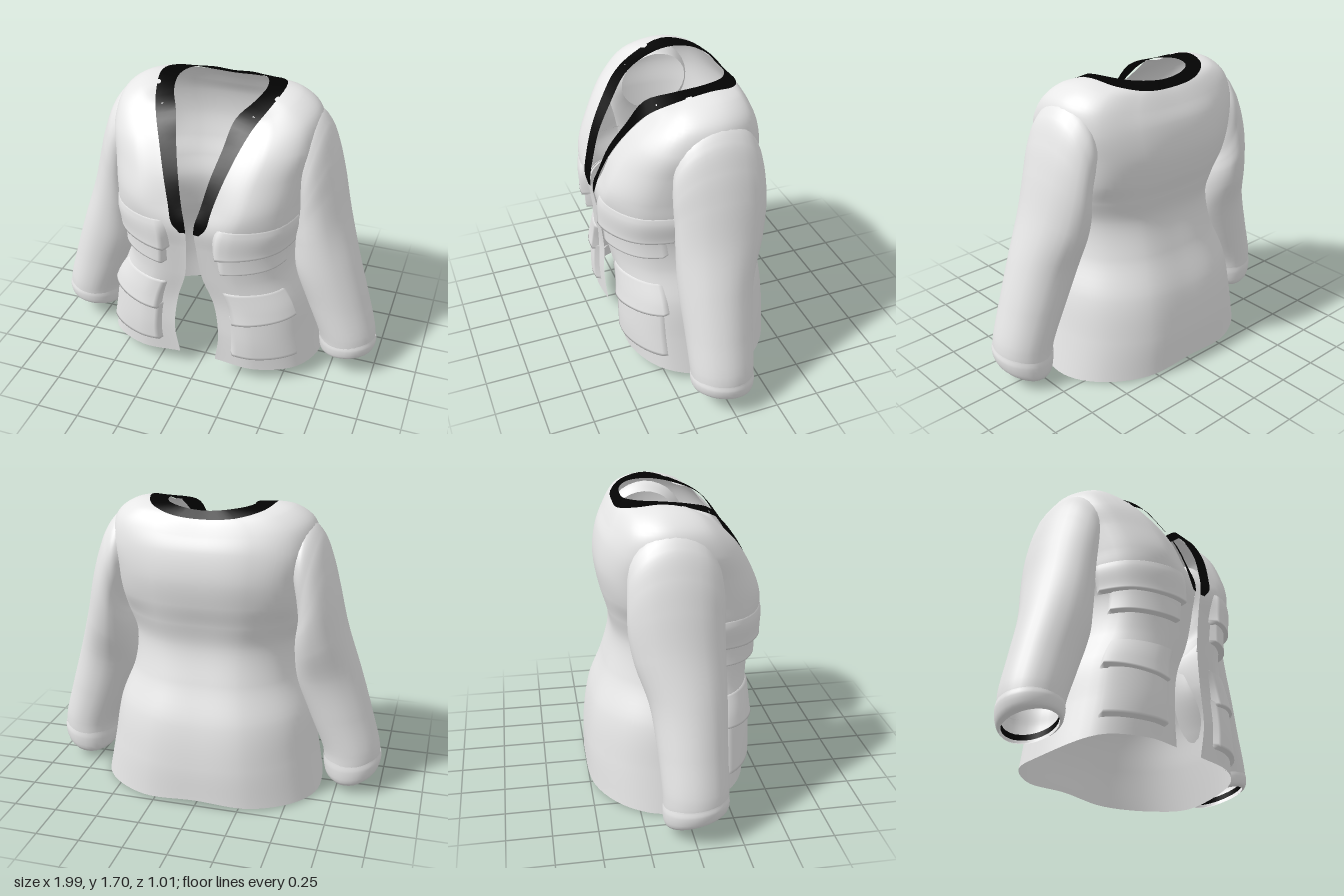
import * as THREE from 'three';
import { ParametricGeometry } from 'three/addons/geometries/ParametricGeometry.js';

const V = (x, y, z) => new THREE.Vector3(x, y, z);
const mix = THREE.MathUtils.lerp;
const cloth = new THREE.MeshStandardMaterial({ color: 0xeeeeee, side: THREE.DoubleSide });
cloth.name = 'off-white cloth';
const trim = new THREE.MeshStandardMaterial({ color: 0x030303, side: THREE.DoubleSide });
trim.name = 'black trim';

// Smooth surface through rows of control points: u runs along a row, v across the rows
function surface(rows, closed = false) {
  const columns = rows[0].map((_, c) => new THREE.CatmullRomCurve3(rows.map((r) => r[c])));
  return (u, v, target) => {
    const row = columns.map((c) => c.getPoint(THREE.MathUtils.clamp(v, 0, 1)));
    return new THREE.CatmullRomCurve3(row, closed).getPoint(u, target);
  };
}

function part(name, fn, slices, stacks, material = cloth) {
  const mesh = new THREE.Mesh(new ParametricGeometry(fn, slices, stacks), material);
  mesh.name = name;
  return mesh;
}

// Left half of a row, from the front edge to the back centre, completed by mirroring
const mirrorRow = (half) => [
  ...half,
  ...half.slice(0, -1).reverse().map((p) => V(-p.x, p.y, p.z)),
];

// Body levels: yFront, ySide, yBack, edge x, edge z, front z, half width, side z, back z
const lowerLevels = [
  [0.11, 0.015, 0.05, 0.11, 0.39, 0.39, 0.655, -0.08, -0.505],
  [0.3, 0.26, 0.25, 0.135, 0.4, 0.4, 0.61, -0.07, -0.5],
  [0.52, 0.5, 0.48, 0.11, 0.4, 0.4, 0.57, -0.05, -0.465],
  [0.72, 0.72, 0.72, 0.05, 0.43, 0.42, 0.49, -0.02, -0.38],
  [0.92, 0.92, 0.92, 0.03, 0.46, 0.45, 0.48, 0, -0.335],
  [1.06, 1.06, 1.06, 0.03, 0.48, 0.48, 0.53, 0, -0.36],
];
const upperLevels = [
  [1.18, 1.18, 1.18, 0.1, 0.455, 0.47, 0.54, -0.03, -0.395],
  [1.33, 1.33, 1.33, 0.145, 0.405, 0.41, 0.56, -0.06, -0.415],
  [1.48, 1.48, 1.48, 0.2, 0.315, 0.32, 0.585, -0.07, -0.39],
  [1.57, 1.61, 1.56, 0.235, 0.235, 0.225, 0.555, -0.08, -0.35],
  [1.61, 1.685, 1.62, 0.255, 0.205, 0.165, 0.455, -0.09, -0.315],
  [1.63, 1.705, 1.645, 0.265, 0.19, 0.1, 0.35, -0.08, -0.295],
  [1.635, 1.698, 1.658, 0.25, 0.19, 0.09, 0.315, -0.08, -0.278],
];
// bend = how soon the hem line drops from front to side, full = roundness of the back
const bodyRow = (bend, full, backDrop) => ([yf, ys, yb, xe, ze, zf, w, zs, zb]) => mirrorRow([
  V(xe, yf, ze),
  V(mix(xe, w, 0.45), mix(yf, ys, bend * 0.4), zf),
  V(mix(xe, w, 0.86), mix(yf, ys, bend), mix(zs, zf, 0.72)),
  V(w, ys, zs),
  V(w * 0.86, mix(ys, yb, backDrop * 0.4), mix(zs, zb, full)),
  V(w * 0.48, mix(ys, yb, backDrop), mix(zs, zb, 0.93)),
  V(0, yb, zb),
]);
const bodyRows = [
  ...lowerLevels.map(bodyRow(0.3, 0.54, 0.35)),
  ...upperLevels.map(bodyRow(0.75, 0.62, 0.75)),
];
const body = surface(bodyRows);

// Padded patch lying on the body; p = [u0, u1, v0, v1] in control-row steps
function patch(p, depthTop, depthBottom, skew, side) {
  const [u0, u1, v0, v1] = p;
  const E = 1e-3;
  return (a, b, target) => {
    const half = mix(u0, u1, a) / 12;
    const u = side > 0 ? half : 1 - half;
    const v = (mix(v0, v1, b) + skew * a * (1 - b)) / (bodyRows.length - 1);
    const at = body(u, v, V());
    const du = body(u + E, v, V()).sub(body(u - E, v, V()));
    const dv = body(u, v + E, V()).sub(body(u, v - E, V()));
    const normal = du.cross(dv).normalize();
    const rim = THREE.MathUtils.clamp(Math.min(a, 1 - a, b, 1 - b) * 16, 0, 1);
    const depth = mix(depthBottom, depthTop, b);
    return target.copy(at).addScaledVector(normal, mix(-0.008, depth, rim));
  };
}

// Sleeve rings: outer x, outer y, inner x, inner y, centre z, half depth, front lift
const sleeveRings = [
  [0.45, 1.57, 0.5, 1.2, -0.06, 0.2, 0],
  [0.53, 1.615, 0.5, 1.12, -0.05, 0.24, 0],
  [0.605, 1.55, 0.5, 1.04, -0.045, 0.255, 0],
  [0.665, 1.41, 0.49, 1.0, -0.045, 0.26, 0],
  [0.71, 1.25, 0.48, 0.94, -0.045, 0.258, 0],
  [0.765, 1.02, 0.475, 0.85, -0.03, 0.245, 0],
  [0.85, 0.75, 0.485, 0.68, 0.005, 0.21, 0],
  [0.925, 0.5, 0.565, 0.46, 0.015, 0.19, 0],
  [0.985, 0.27, 0.65, 0.25, 0.02, 0.18, 0],
  [0.985, 0.2, 0.665, 0.17, 0.02, 0.175, 0.02],
  [0.955, 0.125, 0.69, 0.095, 0.02, 0.16, 0.04],
];
const cuffRings = [
  [0.99, 0.24, 0.655, 0.21, 0.02, 0.176, 0.02],
  [0.997, 0.205, 0.657, 0.165, 0.02, 0.182, 0.025],
  [0.982, 0.145, 0.672, 0.105, 0.02, 0.174, 0.035],
  [0.955, 0.122, 0.69, 0.092, 0.02, 0.16, 0.04],
];
const liningRings = [
  [0.952, 0.142, 0.692, 0.108, 0.02, 0.156, 0.04],
  [0.95, 0.172, 0.692, 0.138, 0.02, 0.154, 0.04],
];
function tube(rings, side) {
  return surface(rings.map(([ox, oy, ix, iy, zc, rz, lift]) =>
    Array.from({ length: 10 }, (_, i) => {
      const c = Math.cos((i / 10) * Math.PI * 2);
      const s = Math.sin((i / 10) * Math.PI * 2);
      const k = (c + 1) / 2;
      return V(side * mix(ix, ox, k), mix(iy, oy, k) + lift * s, zc + rz * s);
    })), true);
}

// Collar trim runs up both lapels and stands round the back of the neck
const collarOuter = [
  V(0.055, 1.035, 0.49), V(0.098, 1.09, 0.495), V(0.122, 1.19, 0.474), V(0.165, 1.335, 0.422),
  V(0.22, 1.485, 0.334), V(0.272, 1.595, 0.242), V(0.322, 1.662, 0.115), V(0.358, 1.712, -0.07),
  V(0.312, 1.69, -0.215), V(0.178, 1.656, -0.294), V(0, 1.642, -0.304),
];
const collarInner = [
  V(0.022, 1.035, 0.485), V(0.03, 1.1, 0.482), V(0.055, 1.19, 0.455), V(0.088, 1.335, 0.405),
  V(0.13, 1.485, 0.315), V(0.165, 1.62, 0.22), V(0.23, 1.675, 0.08), V(0.255, 1.7, -0.07),
  V(0.215, 1.7, -0.19), V(0.12, 1.69, -0.25), V(0, 1.68, -0.26),
];

export function createModel() {
  const jacket = new THREE.Group();
  jacket.name = 'jacket';
  jacket.add(part('body', body, 72, 72));
  jacket.add(part('collarTrim', surface([mirrorRow(collarOuter), mirrorRow(collarInner)]), 80, 2, trim));

  for (const side of [1, -1]) {
    const label = side > 0 ? 'left' : 'right';

    // Sleeve with a turned cuff and a dark lining band
    const sleeve = new THREE.Group();
    sleeve.name = label + 'Sleeve';
    sleeve.add(part('sleeveTube', tube(sleeveRings, side), 30, 50));
    sleeve.add(part('cuff', tube(cuffRings, side), 30, 9));
    sleeve.add(part('cuffLining', tube(liningRings, side), 30, 2, trim));
    jacket.add(sleeve);

    // Chest and hip pockets, each a pouch under an overhanging flap
    const pockets = new THREE.Group();
    pockets.name = label + 'Pockets';
    pockets.add(part('chestPouch', patch([0.55, 2.4, 3.35, 4.1], 0.02, 0.035, 0.08, side), 16, 16));
    pockets.add(part('chestFlap', patch([0.45, 2.6, 3.85, 5.3], 0.004, 0.05, 0.25, side), 16, 16));
    pockets.add(part('hipPouch', patch([0.35, 2.1, 0.4, 1.8], 0.02, 0.025, 0.05, side), 16, 16));
    pockets.add(part('hipFlap', patch([0.4, 2.2, 1.55, 2.6], 0.012, 0.04, 0.2, side), 16, 16));
    jacket.add(pockets);
  }
  return jacket;
}
